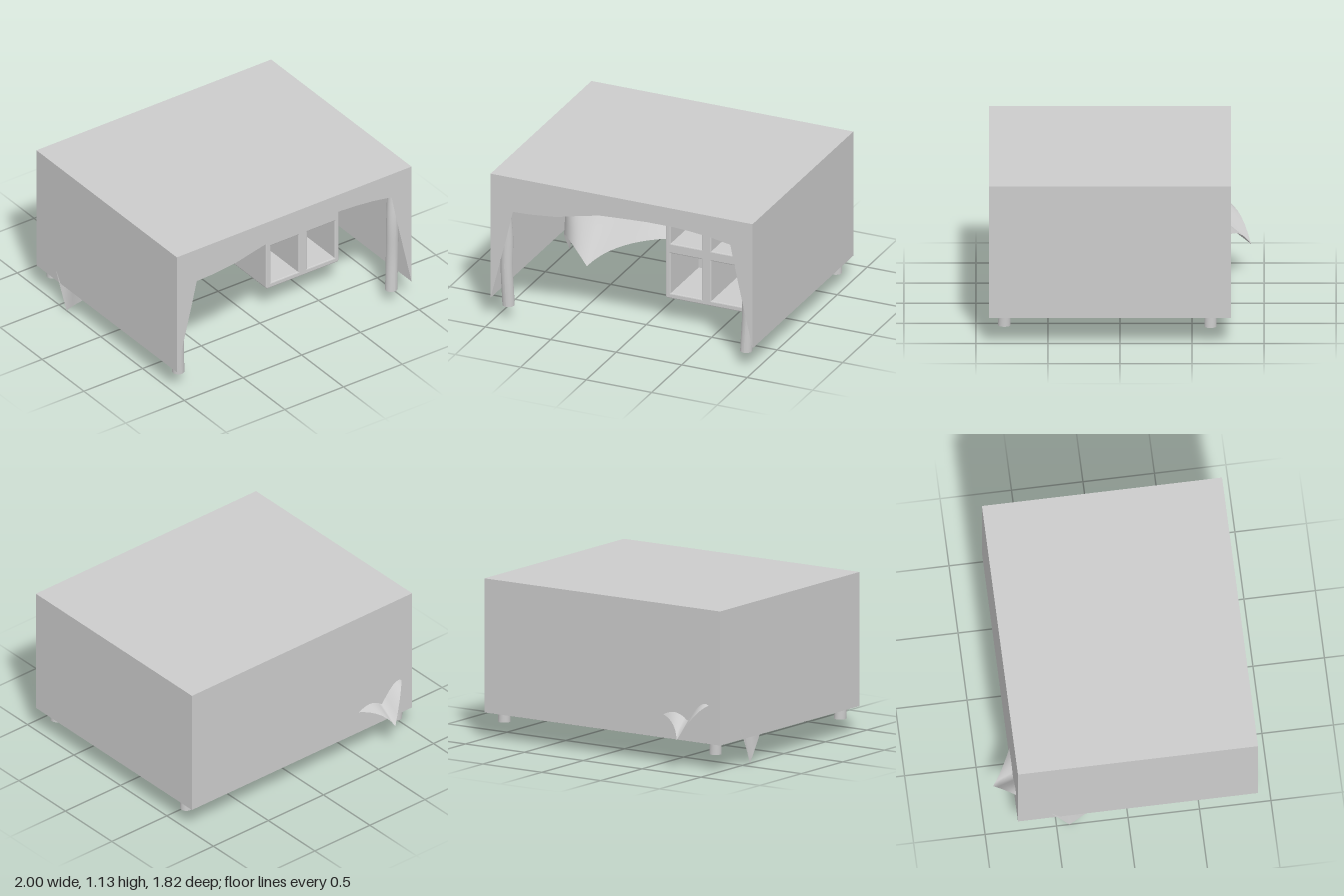
import * as THREE from 'three';

const grey = new THREE.MeshStandardMaterial({ color: 0xcccccc });
const thin = new THREE.MeshStandardMaterial({ color: 0xcccccc, side: THREE.DoubleSide });

function add(parent, name, geometry, material = grey) {
  const mesh = new THREE.Mesh(geometry, material);
  mesh.name = name;
  parent.add(mesh);
  return mesh;
}

// Tablecloth-like cover: thin panels, open below, with an arched opening in front
function createCover() {
  const cover = new THREE.Group();
  cover.name = 'cover';
  const y0 = 0.19, y1 = 1.14, z0 = -0.77, z1 = 0.91;
  const h = y1 - y0, d = z1 - z0, yMid = (y0 + y1) / 2, zMid = (z0 + z1) / 2;

  const top = add(cover, 'coverTop', new THREE.PlaneGeometry(2, d).rotateX(-Math.PI / 2), thin);
  top.position.set(0, y1, zMid);
  const back = add(cover, 'coverBack', new THREE.PlaneGeometry(2, h).rotateY(Math.PI), thin);
  back.position.set(0, yMid, z0);
  for (const s of [-1, 1]) {
    const side = add(cover, s > 0 ? 'coverLeft' : 'coverRight',
      new THREE.PlaneGeometry(d, h).rotateY(s * Math.PI / 2), thin);
    side.position.set(s, yMid, zMid);
  }

  const front = new THREE.Shape([
    [-1, y1], [-1, y0], [-0.87, 0.71], [-0.83, 0.88], [-0.7, 0.885], [-0.5, 0.905],
    [-0.33, 0.945], [-0.17, 0.98], [0.05, 0.993], [0.2, 1], [0.4, 1], [0.52, 0.993],
    [0.67, 0.978], [0.83, 0.95], [0.89, 0.67], [1, y0], [1, y1],
  ].map(([x, y]) => new THREE.Vector2(x, y)));
  add(cover, 'coverFront', new THREE.ShapeGeometry(front), thin).position.z = z1;
  return cover;
}

// Round leg whose rings lean and wobble with height
function createLeg(name, x, z, leanX, leanZ, wobble) {
  const y0 = 0.11, y1 = 1.139;
  const g = new THREE.CylinderGeometry(0.043, 0.043, y1 - y0, 24, 16);
  g.translate(0, (y0 + y1) / 2, 0);
  const p = g.attributes.position;
  for (let i = 0; i < p.count; i++) {
    const t = (p.getY(i) - y0) / (y1 - y0);
    const bend = wobble * Math.sin(t * Math.PI * 3) * t;
    p.setX(i, p.getX(i) + x + leanX * t + bend);
    p.setZ(i, p.getZ(i) + z + leanZ * t - bend);
  }
  g.computeVertexNormals();
  const leg = new THREE.Mesh(g, grey);
  leg.name = name;
  return leg;
}

function roundedRect(path, x0, y0, x1, y1, r) {
  path.absarc(x1 - r, y0 + r, r, -Math.PI / 2, 0);
  path.absarc(x1 - r, y1 - r, r, 0, Math.PI / 2);
  path.absarc(x0 + r, y1 - r, r, Math.PI / 2, Math.PI);
  path.absarc(x0 + r, y0 + r, r, Math.PI, Math.PI * 1.5);
  path.closePath();
  return path;
}

// Cube shelf with four open compartments
function createShelf() {
  const shelf = new THREE.Group();
  shelf.name = 'shelf';
  const b = 0.008;
  const outline = roundedRect(new THREE.Shape(), 0.11 + b, 0.2 + b, 0.73 - b, 0.968 - b, 0.008);
  for (const [x0, x1] of [[0.15, 0.385], [0.46, 0.695]]) {
    for (const [y0, y1] of [[0.24, 0.545], [0.62, 0.935]]) {
      outline.holes.push(new THREE.Path([
        [x0 - b, y0 - b], [x0 - b, y1 + b], [x1 + b, y1 + b], [x1 + b, y0 - b],
      ].map(([x, y]) => new THREE.Vector2(x, y))));
    }
  }
  const frame = new THREE.ExtrudeGeometry(outline, {
    depth: 0.46, bevelThickness: b, bevelSize: b, bevelSegments: 2, curveSegments: 3,
  });
  add(shelf, 'shelfFrame', frame).position.z = -0.048;
  const back = add(shelf, 'shelfBack', new THREE.BoxGeometry(0.62, 0.768, 0.03));
  back.position.set(0.42, 0.584, -0.065);
  return shelf;
}

// Draped cloth: each row is one spoke (shoulder, middle, hem); rows alternate
// between a hanging corner and the middle of a hem
function createCloth() {
  const peak = new THREE.Vector3(-0.65, 0.825, -0.4);
  const spokes = [
    [-0.88, 0.72, -0.41, -0.94, 0.4, -0.42, -1, 0.005, -0.41],
    [-0.82, 0.73, -0.28, -0.89, 0.5, -0.15, -0.87, 0.29, -0.05],
    [-0.62, 0.72, -0.25, -0.62, 0.45, -0.03, -0.6, 0.2, 0.18],
    [-0.52, 0.69, -0.33, -0.4, 0.47, -0.25, -0.34, 0.3, -0.15],
    [-0.45, 0.64, -0.44, -0.22, 0.385, -0.49, 0.13, 0.225, -0.55],
    [-0.55, 0.69, -0.5, -0.46, 0.5, -0.64, -0.45, 0.36, -0.74],
    [-0.68, 0.7, -0.5, -0.72, 0.42, -0.68, -0.73, 0.22, -0.91],
    [-0.87, 0.72, -0.52, -0.92, 0.6, -0.63, -0.95, 0.46, -0.7],
  ].map((s) => [0, 3, 6].map((i) => new THREE.Vector3(s[i], s[i + 1], s[i + 2])));

  const around = 64, rings = 18, step = around / 4;
  const positions = [], index = [];
  for (let j = 0; j < around; j++) {
    const k = Math.floor(j / step) * 2, u = (j % step) / step;
    const [a, m, c] = [spokes[k], spokes[k + 1], spokes[(k + 2) % 8]];
    // Smooth arc from corner to corner through the middle of the hem
    const line = [0, 1, 2].map((r) => new THREE.Vector3()
      .addScaledVector(a[r], (1 - u) * (1 - 2 * u))
      .addScaledVector(m[r], 4 * u * (1 - u))
      .addScaledVector(c[r], u * (2 * u - 1)));
    const curve = new THREE.CatmullRomCurve3([peak, ...line]);
    for (let i = 0; i <= rings; i++) positions.push(...curve.getPoint(i / rings).toArray());
  }
  const n = rings + 1;
  for (let j = 0; j < around; j++) {
    for (let i = 0; i < rings; i++) {
      const p = j * n + i, q = ((j + 1) % around) * n + i;
      index.push(p, p + 1, q + 1);
      if (i > 0) index.push(p, q + 1, q);
    }
  }
  const g = new THREE.BufferGeometry();
  g.setAttribute('position', new THREE.Float32BufferAttribute(positions, 3));
  g.setIndex(index);
  g.computeVertexNormals();
  // One shared normal where all spokes meet
  for (let j = 0; j < around; j++) g.attributes.normal.setXYZ(j * n, 0, 1, 0);
  const cloth = new THREE.Mesh(g, thin);
  cloth.name = 'drapedCloth';
  return cloth;
}

export function createModel() {
  const model = new THREE.Group();
  model.name = 'coveredTable';
  model.add(
    createCover(),
    createLeg('frontRightLeg', -0.912, 0.803, -0.03, 0.02, -0.012),
    createLeg('frontLeftLeg', 0.903, 0.803, 0.035, -0.02, 0.012),
    createLeg('backRightLeg', -0.912, -0.7, -0.03, -0.015, 0.012),
    createLeg('backLeftLeg', 0.932, -0.628, -0.015, -0.01, -0.012),
    createShelf(),
    createCloth(),
  );
  return model;
}
